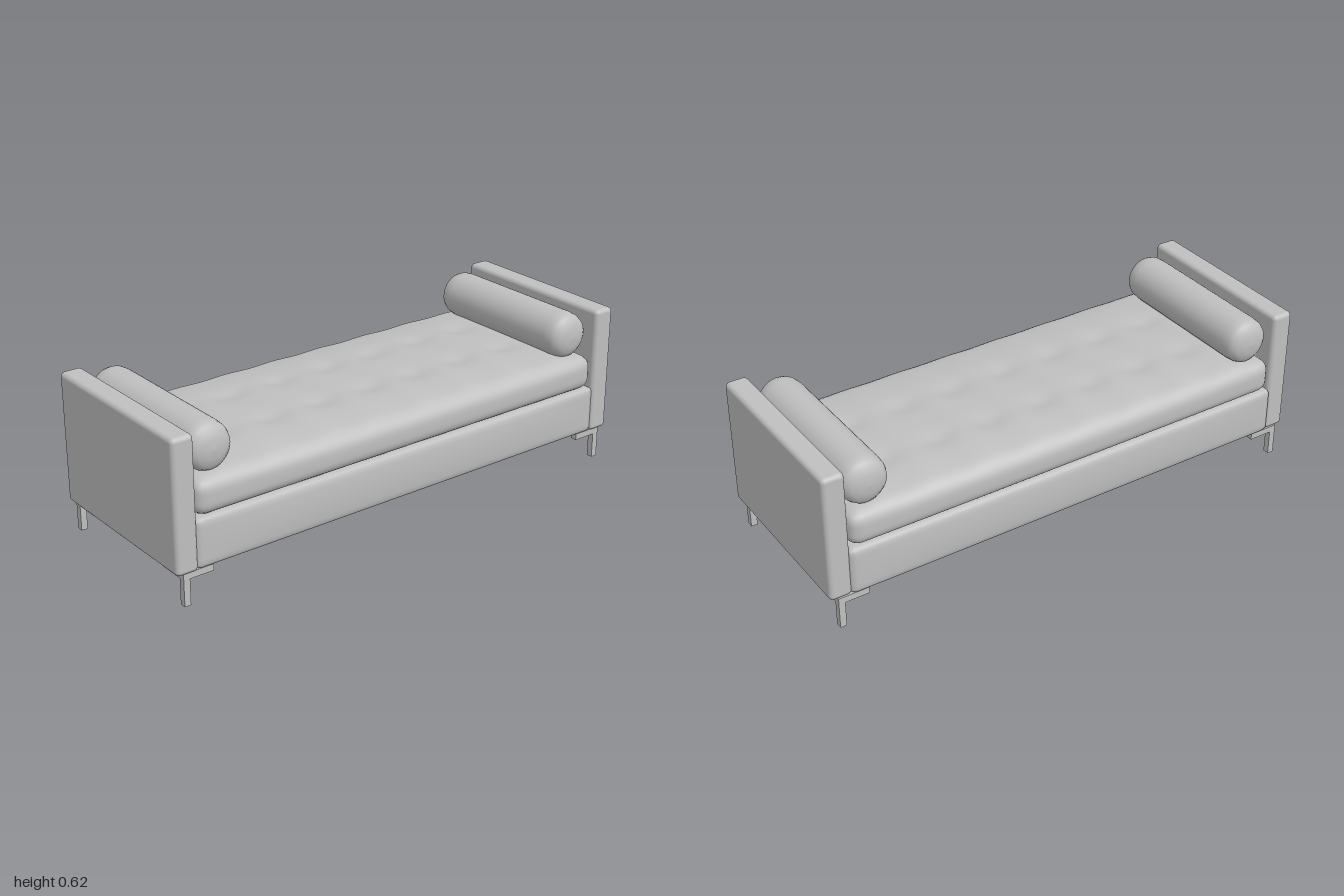
import * as THREE from 'three';
import { mergeVertices } from 'three/addons/utils/BufferGeometryUtils.js';
import { RoundedBoxGeometry } from 'three/addons/geometries/RoundedBoxGeometry.js';

const fabric = new THREE.MeshStandardMaterial({ color: 0xbfbfbf });
fabric.name = 'greyFabric';

function add(parent, name, geometry, x, y, z) {
  const mesh = new THREE.Mesh(geometry, fabric);
  mesh.name = name;
  mesh.position.set(x, y, z);
  parent.add(mesh);
  return mesh;
}

// Finely divided box with rounded edges, then shaped by a rule on each point
function softBox(w, h, d, r, rule) {
  const box = new THREE.BoxGeometry(w, h, d, 84, 12, 40);
  box.deleteAttribute('uv');
  box.deleteAttribute('normal');
  const geometry = mergeVertices(box, 1e-5);
  const pos = geometry.attributes.position;
  const half = new THREE.Vector3(w / 2 - r, h / 2 - r, d / 2 - r);
  const p = new THREE.Vector3();
  for (let i = 0; i < pos.count; i++) {
    p.fromBufferAttribute(pos, i);
    const core = p.clone().clamp(half.clone().negate(), half);
    const out = p.clone().sub(core);
    if (out.lengthSq() > 0) p.copy(core).addScaledVector(out.normalize(), r);
    rule(p, p.x / (w / 2), p.y / (h / 2), p.z / (d / 2));
    pos.setXYZ(i, p.x, p.y, p.z);
  }
  geometry.computeVertexNormals();
  return geometry;
}

// Bulge of the long sides, fading at the ends
const bulge = (u, v) => 0.008 * (1 - u ** 4) * (1 - v * v);

// Mattress top: crowned, with shallow seams and button dimples
function tuft(p, u, v, w) {
  const crown = 0.025 * (1 - u ** 6) * (1 - w ** 4);
  const fade = (1 - u ** 8) * (1 - w ** 4);
  const alongX = Math.cos((p.x / 0.22) * Math.PI * 2);
  const rows = Math.exp(-(((Math.abs(p.z + 0.015) - 0.125) / 0.045) ** 2));
  const seam = -0.005 * alongX - rows * (0.005 + 0.004 * alongX);
  const lift = Math.max(0, v) ** 2;
  p.z += w * bulge(u, v);
  p.y += lift * (crown + seam * fade);
}

// L-shaped bracket with a square post
function makeLeg(sx, sz) {
  const leg = new THREE.Group();
  leg.name = 'leg';
  add(leg, 'post', new THREE.BoxGeometry(0.025, 0.125, 0.025), sx * 0.957, 0.0625, sz * 0.346);
  add(leg, 'bracketAcross', new THREE.BoxGeometry(0.095, 0.025, 0.025), sx * 0.897, 0.1125, sz * 0.346);
  add(leg, 'bracketAlong', new THREE.BoxGeometry(0.025, 0.025, 0.1), sx * 0.957, 0.1125, sz * 0.2835);
  return leg;
}

// Round bolster with softly domed ends
function bolsterGeometry() {
  const points = [
    [0, -0.345], [0.035, -0.342], [0.062, -0.334], [0.079, -0.32], [0.087, -0.302], [0.09, -0.27],
  ].map(([r, y]) => new THREE.Vector2(r, y));
  const top = points.map((q) => new THREE.Vector2(q.x, -q.y)).reverse();
  return new THREE.LatheGeometry([...points, ...top], 40).rotateX(Math.PI / 2);
}

export function createModel() {
  const daybed = new THREE.Group();
  daybed.name = 'daybed';

  add(daybed, 'base', softBox(1.84, 0.186, 0.736, 0.018, (p, u, v, w) => {
    p.z += w * bulge(u, v);
  }), 0, 0.217, 0);
  add(daybed, 'mattress', softBox(1.82, 0.134, 0.738, 0.045, tuft), 0, 0.376, 0);

  for (const s of [-1, 1]) {
    add(daybed, 'endPanel', new RoundedBoxGeometry(0.087, 0.502, 0.73, 4, 0.018), s * 0.9565, 0.374, 0.005);
    add(daybed, 'bolster', bolsterGeometry(), s * 0.82, 0.53, -0.003);
    for (const sz of [-1, 1]) daybed.add(makeLeg(s, sz));
  }
  return daybed;
}
